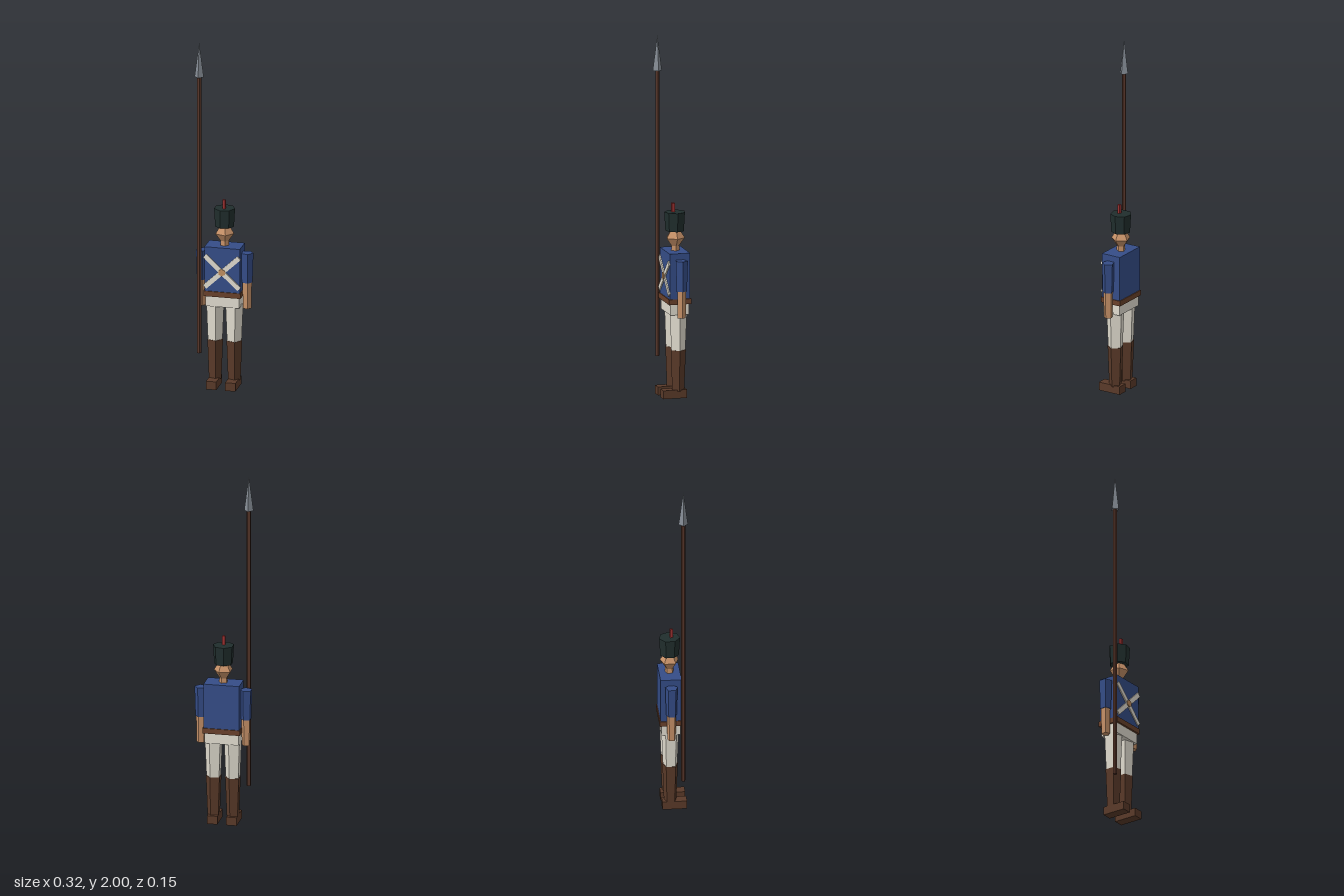
import * as THREE from 'three';

const makeMaterial = (name, color) => {
  const m = new THREE.MeshStandardMaterial({ color, flatShading: true });
  m.name = name;
  return m;
};

export function createModel() {
  const coat = makeMaterial('coat blue', 0x354d88);
  const cloth = makeMaterial('cream cloth', 0xe2ddd0);
  const leather = makeMaterial('boot leather', 0x5a3a29);
  const beltBrown = makeMaterial('belt brown', 0x6a412b);
  const skin = makeMaterial('skin', 0xc69168);
  const felt = makeMaterial('hat felt', 0x202e2d);
  const red = makeMaterial('plume red', 0x9c3030);
  const wood = makeMaterial('shaft wood', 0x563529);
  const steel = makeMaterial('steel', 0x858c95);
  const brass = makeMaterial('brass', 0xc29060);

  const group = new THREE.Group();
  group.name = 'toySoldier';
  const cx = -0.004, cz = -0.015; // body axis

  const add = (name, geometry, material, x, y, z) => {
    const mesh = new THREE.Mesh(geometry, material);
    mesh.name = name;
    mesh.position.set(x, y, z);
    group.add(mesh);
    return mesh;
  };
  const box = (name, mat, w, y0, y1, d, x = cx, z = cz) =>
    add(name, new THREE.BoxGeometry(w, y1 - y0, d), mat, x, (y0 + y1) / 2, z);
  // Few-sided tapered column with one corner pointing to +x
  const column = (name, mat, rTop, rBottom, y0, y1, sides, x = cx, z = cz) => {
    const g = new THREE.CylinderGeometry(rTop, rBottom, y1 - y0, sides);
    g.rotateY(Math.PI / 2);
    return add(name, g, mat, x, (y0 + y1) / 2, z);
  };

  // Trunk
  box('torso', coat, 0.2, 0.555, 0.815, 0.116);
  box('belt', beltBrown, 0.21, 0.53, 0.56, 0.126);
  box('hips', cloth, 0.19, 0.47, 0.532, 0.104);

  // Crossed chest straps and buckle
  for (const s of [-1, 1]) {
    const strap = add(s < 0 ? 'rightStrap' : 'leftStrap',
      new THREE.BoxGeometry(0.265, 0.027, 0.009), cloth, cx, 0.675, 0.0455 + s * 0.0004);
    strap.rotation.z = s * 0.75;
  }
  const buckle = new THREE.CylinderGeometry(0.021, 0.021, 0.012, 6);
  buckle.rotateX(Math.PI / 2);
  add('buckle', buckle, brass, cx, 0.675, 0.049);

  // Arms and legs
  for (const s of [-1, 1]) {
    const side = s < 0 ? 'right' : 'left';
    const armX = cx + s * 0.127, legX = cx + s * 0.054;
    column(side + 'Sleeve', coat, 0.036, 0.031, 0.61, 0.78, 5, armX);
    column(side + 'Forearm', skin, 0.027, 0.024, 0.46, 0.615, 5, armX);
    column(side + 'TrouserLeg', cloth, 0.051, 0.042, 0.262, 0.48, 5, legX);
    column(side + 'Boot', leather, 0.045, 0.036, 0.04, 0.268, 5, legX);
    box(side + 'Foot', leather, 0.058, 0, 0.047, 0.136, legX, 0.007);
  }

  // Head
  column('neck', skin, 0.023, 0.025, 0.81, 0.85, 5);
  const profile = [[0, 0.835], [0.022, 0.84], [0.054, 0.885], [0.028, 0.927], [0, 0.935]]
    .map(([r, y]) => new THREE.Vector2(r, y));
  const headGeo = new THREE.LatheGeometry(profile, 5);
  headGeo.rotateY(Math.PI / 2);
  add('head', headGeo, skin, cx, 0, cz);

  // Tall hat with plume
  column('hat', felt, 0.059, 0.053, 0.925, 1.03, 7);
  box('plume', red, 0.016, 1.0, 1.08, 0.016, cx, -0.004);

  // Spear in the right hand
  column('spearShaft', wood, 0.012, 0.012, 0.2, 1.81, 5, -0.132, 0.049);
  add('spearHead', new THREE.ConeGeometry(0.026, 0.2, 4), steel, -0.132, 1.9, 0.049);

  return group;
}
